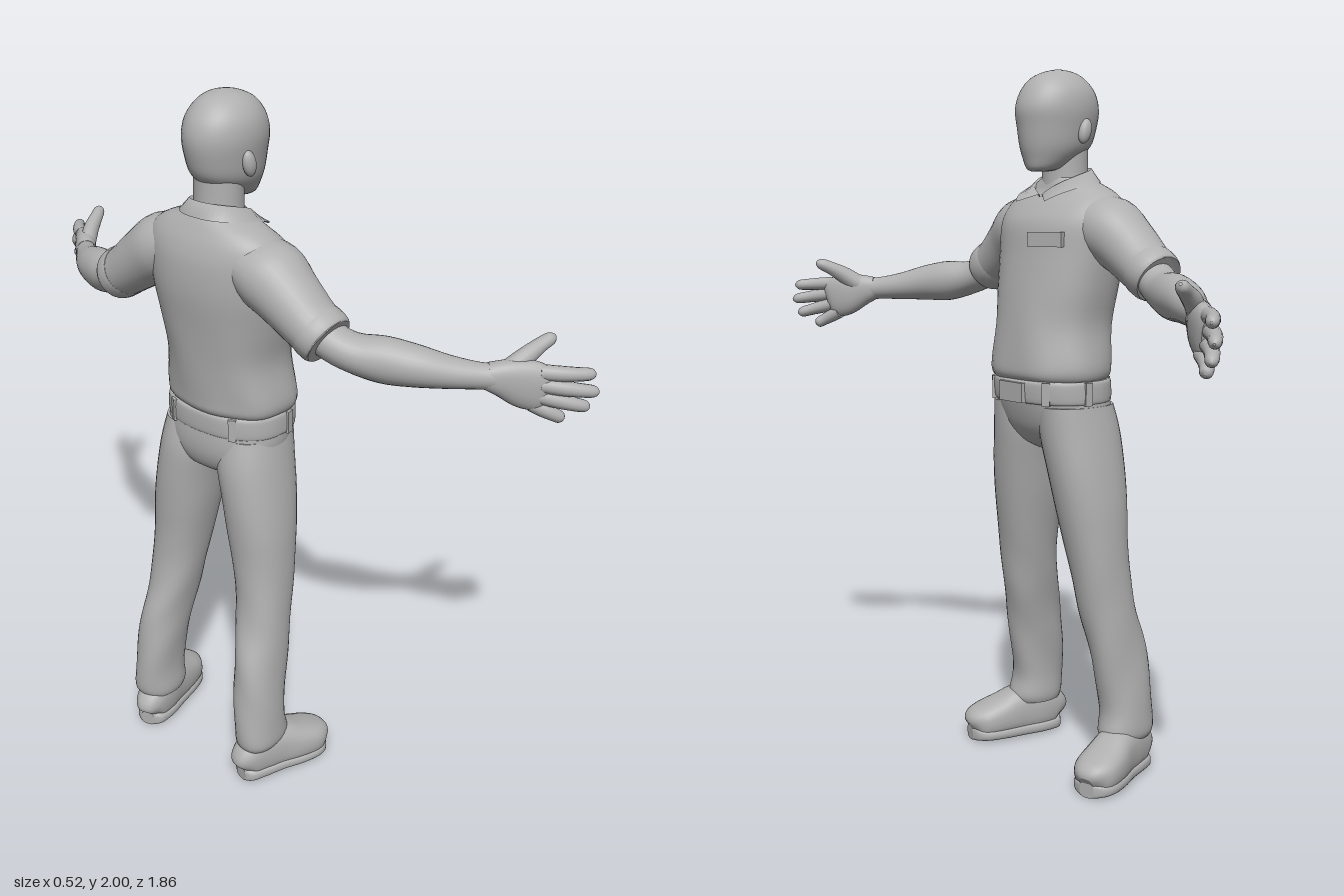
import * as THREE from 'three';

const grey = new THREE.MeshStandardMaterial({ color: 0xb0b0b0, side: THREE.DoubleSide });
grey.name = 'plain grey';

// Catmull-Rom blend of the rows of numbers
function refine(rows, sub) {
  const out = [];
  const at = (i) => rows[Math.min(Math.max(i, 0), rows.length - 1)];
  for (let i = 0; i < rows.length - 1; i++) {
    for (let k = 0; k < sub; k++) {
      const t = k / sub;
      out.push(at(i).map((p1, c) => {
        const p0 = at(i - 1)[c], p2 = at(i + 1)[c], p3 = at(i + 2)[c];
        return p1 + 0.5 * t * (p2 - p0 + t * (2 * p0 - 5 * p1 + 4 * p2 - p3 + t * (3 * (p1 - p2) + p3 - p0)));
      }));
    }
  }
  out.push(at(rows.length - 1));
  return out;
}

// Skin over rows [x, y, z, a, b]; a is the half size along "up", b across it
function loft(name, rows, { n = 28, sub = 4, p = 2, layers = false, fold = null } = {}) {
  const R = refine(rows, sub), pos = [], idx = [];
  const C = R.map((r) => new THREE.Vector3(r[0], r[1], r[2]));
  const ref = layers ? new THREE.Vector3(1, 0, 0) : new THREE.Vector3(0, 1, 0);
  const pow = (v) => Math.sign(v) * Math.abs(v) ** (2 / p);
  R.forEach((r, i) => {
    const T = layers ? new THREE.Vector3(0, 1, 0)
      : C[Math.min(i + 1, C.length - 1)].clone().sub(C[Math.max(i - 1, 0)]).normalize();
    const U = ref.clone().addScaledVector(T, -ref.dot(T)).normalize();
    const V = T.clone().cross(U);
    for (let j = 0; j < n; j++) {
      const t = (j / n) * Math.PI * 2, f = 1 + (fold ? fold(t, C[i]) : 0);
      const q = C[i].clone()
        .addScaledVector(U, Math.max(r[3], 0.001) * f * pow(Math.cos(t)))
        .addScaledVector(V, Math.max(r[4], 0.001) * f * pow(Math.sin(t)));
      pos.push(q.x, q.y, q.z);
    }
  });
  const last = R.length - 1;
  for (let i = 0; i < last; i++) {
    for (let j = 0; j < n; j++) {
      const a = i * n + j, b = i * n + (j + 1) % n;
      idx.push(a, b, a + n, b, b + n, a + n);
    }
  }
  // flat end caps with their own corners
  for (const i of [0, last]) {
    const base = pos.length / 3;
    pos.push(...pos.slice(i * n * 3, (i + 1) * n * 3), C[i].x, C[i].y, C[i].z);
    for (let j = 0; j < n; j++) {
      const a = base + j, b = base + (j + 1) % n;
      idx.push(...(i ? [a, b, base + n] : [b, a, base + n]));
    }
  }
  return skin(name, pos, idx);
}

function skin(name, pos, idx) {
  const g = new THREE.BufferGeometry();
  g.setAttribute('position', new THREE.Float32BufferAttribute(pos, 3));
  g.setIndex(idx);
  g.computeVertexNormals();
  return named(name, g);
}

function named(name, geometry) {
  const m = new THREE.Mesh(geometry, grey);
  m.name = name;
  return m;
}

// Horizontal layers given as [y, back x, front x, centre z, half width]
const stack = (name, rows, opt) => loft(name,
  rows.map(([y, x0, x1, z, w]) => [(x0 + x1) / 2, y, z, (x1 - x0) / 2, w]), { layers: true, n: 40, ...opt });

function box(name, size, at) {
  const m = named(name, new THREE.BoxGeometry(...size));
  m.position.set(...at);
  return m;
}

// Open folded collar with two points at the front
function collar() {
  const n = 40, pos = [], idx = [];
  for (let i = 0; i <= n; i++) {
    const t = (i / n) * 2 - 1, d = Math.abs(t), a = t * Math.PI * 0.98, b = t * Math.PI * 0.82;
    const top = 1.735 - 0.075 * d * d, low = 1.695 - 0.055 * d ** 3;
    pos.push(-0.108 - 0.072 * Math.cos(a), top - 0.03, -0.012 + 0.07 * Math.sin(a));
    pos.push(-0.108 - 0.082 * Math.cos(a), top, -0.012 + 0.078 * Math.sin(a));
    pos.push(-0.098 - (0.105 + 0.025 * d) * Math.cos(b), low, -0.012 + 0.115 * Math.sin(b));
    if (i < n) {
      for (const k of [0, 1]) {
        const o = i * 3 + k;
        idx.push(o, o + 3, o + 1, o + 1, o + 3, o + 4);
      }
    }
  }
  return skin('collar', pos, idx);
}

export function createModel() {
  const model = new THREE.Group();
  model.name = 'standingMan';
  const Z = -0.013;

  // Head, neck
  model.add(stack('head', [
    [1.722, -0.045, 0.002, Z, 0.02], [1.73, -0.085, 0.014, Z, 0.043], [1.755, -0.135, 0.022, Z, 0.064],
    [1.79, -0.185, 0.031, Z, 0.083], [1.84, -0.205, 0.038, Z, 0.093], [1.89, -0.212, 0.043, Z, 0.099],
    [1.935, -0.2, 0.028, Z, 0.092], [1.97, -0.172, 0.0, Z, 0.07], [1.99, -0.138, -0.04, Z, 0.042],
    [1.999, -0.1, -0.08, Z, 0.008]]));
  model.add(stack('neck', [[1.6, -0.19, -0.04, Z, 0.075], [1.7, -0.178, -0.05, Z, 0.068], [1.8, -0.175, -0.05, Z, 0.068]]));
  for (const s of [1, -1]) {
    const ear = named('ear', new THREE.SphereGeometry(1, 16, 12));
    ear.scale.set(0.02, 0.035, 0.016);
    ear.position.set(-0.105, 1.83, Z + s * 0.094);
    ear.rotation.z = 0.25;
    model.add(ear);
  }

  // Shirt, gathered at the waist
  const shirtFold = (t, c) => 0.014 * Math.sin(t * 7 + c.y * 9) * THREE.MathUtils.clamp((1.45 - c.y) * 4, 0, 1);
  model.add(stack('shirtBody', [
    [1.148, -0.192, 0.07, Z, 0.176], [1.165, -0.204, 0.083, Z, 0.185], [1.2, -0.208, 0.084, Z, 0.186],
    [1.3, -0.22, 0.073, Z, 0.172], [1.4, -0.232, 0.058, Z, 0.188], [1.5, -0.244, 0.04, Z, 0.204],
    [1.58, -0.242, 0.025, Z, 0.212], [1.63, -0.23, -0.008, Z, 0.205], [1.665, -0.214, -0.04, Z, 0.165],
    [1.69, -0.2, -0.05, Z, 0.105], [1.705, -0.188, -0.055, Z, 0.075]], { p: 2.25, fold: shirtFold }));
  model.add(collar());
  const badge = box('badge', [0.022, 0.04, 0.11], [0.027, 1.538, -0.1]);
  badge.rotation.y = 0.3;
  model.add(badge);

  // Belt, buckle, loops
  const beltZ = -0.018;
  model.add(stack('belt', [[1.088, -0.194, 0.07, beltZ, 0.182], [1.096, -0.201, 0.077, beltZ, 0.188],
    [1.142, -0.201, 0.08, beltZ, 0.187], [1.152, -0.194, 0.074, beltZ, 0.181]], { p: 2.3 }));
  model.add(box('buckle', [0.02, 0.055, 0.1], [0.078, 1.118, beltZ]));
  for (const a of [0.62, 1.45, 2.6, -0.62, -1.45, -2.6]) {
    const q = (v) => Math.sign(v) * Math.abs(v) ** (2 / 2.3);
    const loop = box('beltLoop', [0.012, 0.064, 0.022], [-0.061 + 0.138 * q(Math.cos(a)), 1.118, beltZ + 0.186 * q(Math.sin(a))]);
    loop.rotation.y = -a;
    model.add(loop);
  }

  // Trouser seat
  model.add(stack('trouserSeat', [
    [0.945, -0.13, -0.03, -0.022, 0.05], [0.97, -0.175, 0.012, -0.022, 0.12], [1.01, -0.195, 0.042, -0.021, 0.17],
    [1.06, -0.2, 0.06, -0.02, 0.184], [1.12, -0.194, 0.073, -0.018, 0.181]], { p: 2.3 }));

  for (const s of [1, -1]) {
    // Mirror about the stance, slightly off centre
    const leg = (z) => (s > 0 ? z : -z - 0.045);
    const arm = (z) => (s > 0 ? z : -z - 0.02);
    const armPart = (name, rows, opt) => loft(name, rows.map(([x, y, z, a, b]) => [x, y, arm(z), a, b]), opt);

    // Trouser leg with loose folds toward the cuff
    const fold = (t, c) => 0.022 * Math.sin(3 * s * t + 26 * c.y) * THREE.MathUtils.clamp((0.75 - c.y) * 3, 0.1, 1);
    model.add(stack('trouserLeg', [
      [0.11, -0.245, -0.09, 0.18, 0.058], [0.135, -0.255, -0.08, 0.182, 0.065], [0.2, -0.255, -0.09, 0.18, 0.063],
      [0.3, -0.25, -0.075, 0.172, 0.063], [0.4, -0.235, -0.055, 0.163, 0.064], [0.5, -0.207, -0.035, 0.15, 0.07],
      [0.6, -0.192, -0.018, 0.14, 0.076], [0.7, -0.19, 0.0, 0.128, 0.083], [0.8, -0.196, 0.018, 0.115, 0.09],
      [0.9, -0.2, 0.034, 0.1, 0.092], [1.0, -0.198, 0.046, 0.082, 0.093], [1.08, -0.18, 0.052, 0.075, 0.085]]
      .map(([y, x0, x1, z, w]) => [y, x0, x1, leg(z), w]), { p: 2.2, n: 32, fold }));

    // Shoe and sole
    const shoe = [[-0.246, 0.045, 0.17, 0.03, 0.022], [-0.23, 0.06, 0.174, 0.056, 0.044],
      [-0.18, 0.077, 0.183, 0.074, 0.055], [-0.12, 0.078, 0.2, 0.075, 0.059], [-0.06, 0.067, 0.22, 0.061, 0.067],
      [-0.005, 0.056, 0.237, 0.051, 0.066], [0.026, 0.05, 0.246, 0.042, 0.049], [0.04, 0.042, 0.25, 0.022, 0.022]]
      .map(([x, y, z, a, b]) => [x, y, leg(z), a, b]);
    model.add(loft('shoe', shoe, { p: 2.5 }));
    model.add(loft('sole', shoe.map(([x, , z, , b]) => [x, 0.022, z, 0.022, b + 0.001]), { p: 3 }));

    // Sleeve with a rolled hem
    model.add(armPart('sleeve', [[-0.12, 1.6, 0.08, 0.06, 0.09], [-0.125, 1.565, 0.165, 0.092, 0.1],
      [-0.13, 1.52, 0.235, 0.083, 0.088], [-0.13, 1.472, 0.3, 0.073, 0.08], [-0.128, 1.438, 0.355, 0.068, 0.076]]));
    model.add(armPart('sleeveHem', [[-0.13, 1.463, 0.315, 0.072, 0.079], [-0.129, 1.455, 0.328, 0.074, 0.081],
      [-0.128, 1.441, 0.35, 0.072, 0.079], [-0.128, 1.436, 0.359, 0.066, 0.073]], { sub: 2 }));

    // Bare arm down to the wrist
    model.add(armPart('arm', [[-0.13, 1.5, 0.26, 0.05, 0.055], [-0.12, 1.44, 0.35, 0.049, 0.056],
      [-0.098, 1.412, 0.41, 0.05, 0.056], [-0.064, 1.4, 0.48, 0.06, 0.057], [-0.03, 1.392, 0.55, 0.054, 0.054],
      [0.015, 1.38, 0.62, 0.042, 0.044], [0.062, 1.372, 0.685, 0.034, 0.033], [0.09, 1.37, 0.72, 0.036, 0.03]]));

    // Hand: palm, thumb, four fingers
    const hand = new THREE.Group();
    hand.name = 'hand';
    hand.add(armPart('palm', [[0.07, 1.372, 0.695, 0.034, 0.03], [0.1, 1.365, 0.73, 0.05, 0.032],
      [0.135, 1.35, 0.77, 0.064, 0.031], [0.16, 1.338, 0.806, 0.06, 0.024], [0.172, 1.333, 0.82, 0.04, 0.01]], { p: 2.3 }));
    hand.add(armPart('thumb', [[0.1, 1.375, 0.725, 0.028, 0.025], [0.145, 1.41, 0.752, 0.026, 0.024],
      [0.187, 1.435, 0.77, 0.02, 0.02], [0.217, 1.45, 0.785, 0.016, 0.016], [0.227, 1.456, 0.791, 0.004, 0.004]], { n: 14 }));
    const fingers = [['indexFinger', 1.385, 0.8, 0.243, 1.378, 0.902], ['middleFinger', 1.353, 0.805, 0.246, 1.332, 0.915],
      ['ringFinger', 1.322, 0.8, 0.238, 1.288, 0.898], ['littleFinger', 1.295, 0.785, 0.202, 1.254, 0.848]];
    for (const [name, y0, z0, x1, y1, z1] of fingers) {
      const x0 = 0.15, mix = (a, b, t) => a + (b - a) * t;
      hand.add(armPart(name, [[0, 0.02], [0.3, 0.02], [0.6, 0.018], [0.9, 0.015], [1, 0.003]].map(([t, r]) => [
        mix(x0, x1, t) + 0.012 * t * (t - 1), mix(y0, y1, t), mix(z0, z1, t) + 0.03 * t * (1 - t), r, r]), { n: 14 }));
    }
    model.add(hand);
  }
  return model;
}
